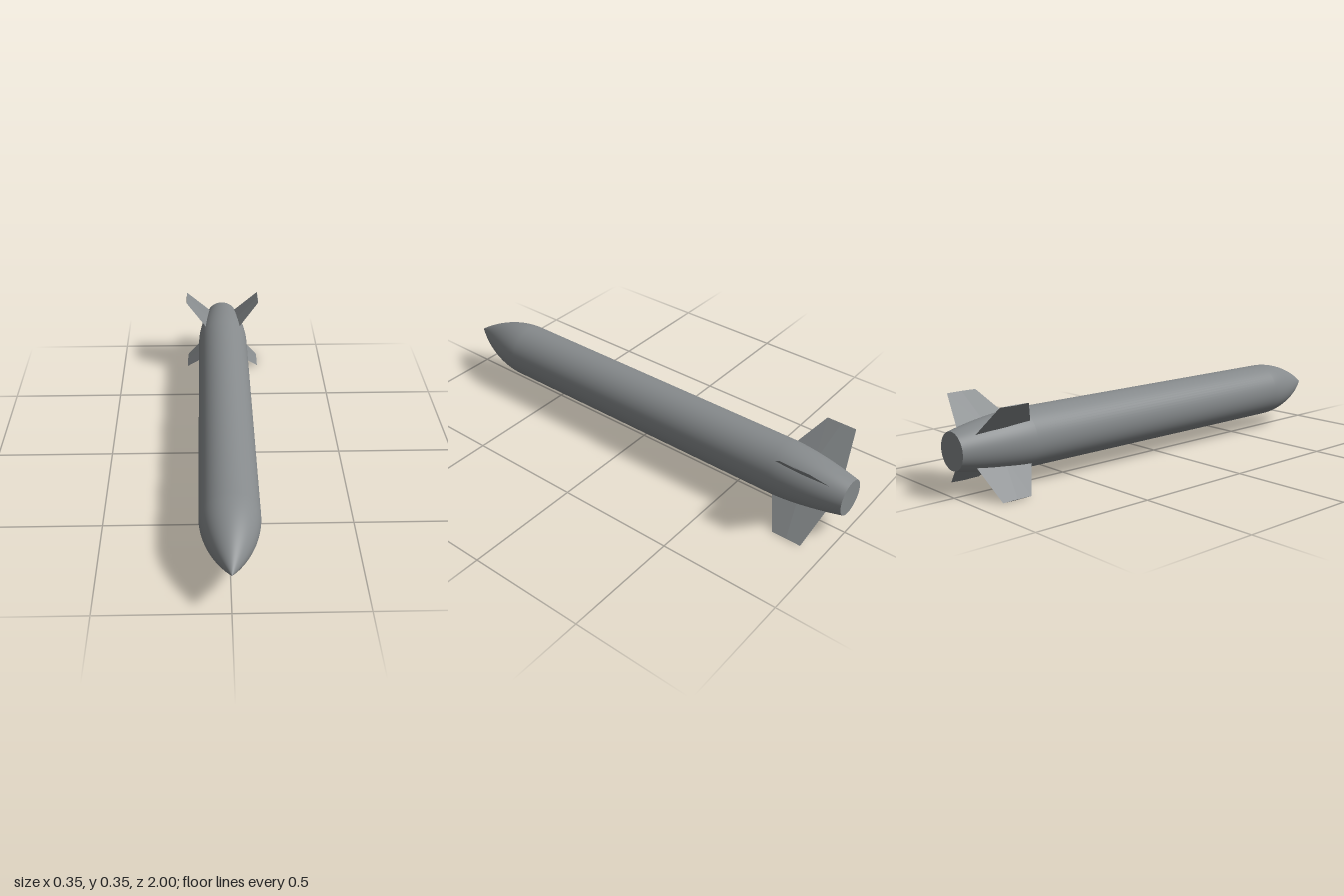
import * as THREE from 'three';
import { ConvexGeometry } from 'three/addons/geometries/ConvexGeometry.js';

const R = 0.117, TAIL_R = 0.074, AXIS_Y = 0.177;
const TAIL_Z = -0.7, NOSE_Z = 0.68;

export function createModel() {
  const group = new THREE.Group();
  const grey = new THREE.MeshStandardMaterial({ color: 0x868a8c });
  grey.name = 'bodyGrey';

  const add = (geometry, name) => {
    const mesh = new THREE.Mesh(geometry, grey);
    mesh.name = name;
    mesh.position.y = AXIS_Y;
    group.add(mesh);
    return mesh;
  };

  // Body: curved boat tail, straight tube, ogive nose
  const profile = [];
  for (let i = 0; i <= 10; i++) {
    const t = 1 - i / 10;
    profile.push(new THREE.Vector2(R - (R - TAIL_R) * t ** 1.7, TAIL_Z - 0.3 * t));
  }
  for (let i = 0; i <= 20; i++) {
    const t = i / 20;
    profile.push(new THREE.Vector2(R * (1 - t ** 1.9), NOSE_Z + (1 - NOSE_Z) * t));
  }
  add(new THREE.LatheGeometry(profile, 64).rotateX(Math.PI / 2), 'body');

  // Flat tail end
  const cap = add(new THREE.CircleGeometry(TAIL_R, 64).rotateY(Math.PI), 'tailCap');
  cap.position.z = -1;

  // Fins: thin tapered wedges with sharp leading and trailing edges
  const section = (r, lead, trail, half) => [
    new THREE.Vector3(r, 0, lead),
    new THREE.Vector3(r, half, (lead + trail) / 2),
    new THREE.Vector3(r, 0, trail),
    new THREE.Vector3(r, -half, (lead + trail) / 2),
  ];
  const fin = new ConvexGeometry([
    ...section(0.06, -0.68, -0.943, 0.0045),
    ...section(0.248, -0.78, -0.905, 0.0018),
  ]);
  ['upperLeftFin', 'upperRightFin', 'lowerRightFin', 'lowerLeftFin'].forEach((name, i) => {
    add(fin, name).rotation.z = Math.PI / 4 + i * Math.PI / 2;
  });

  return group;
}
